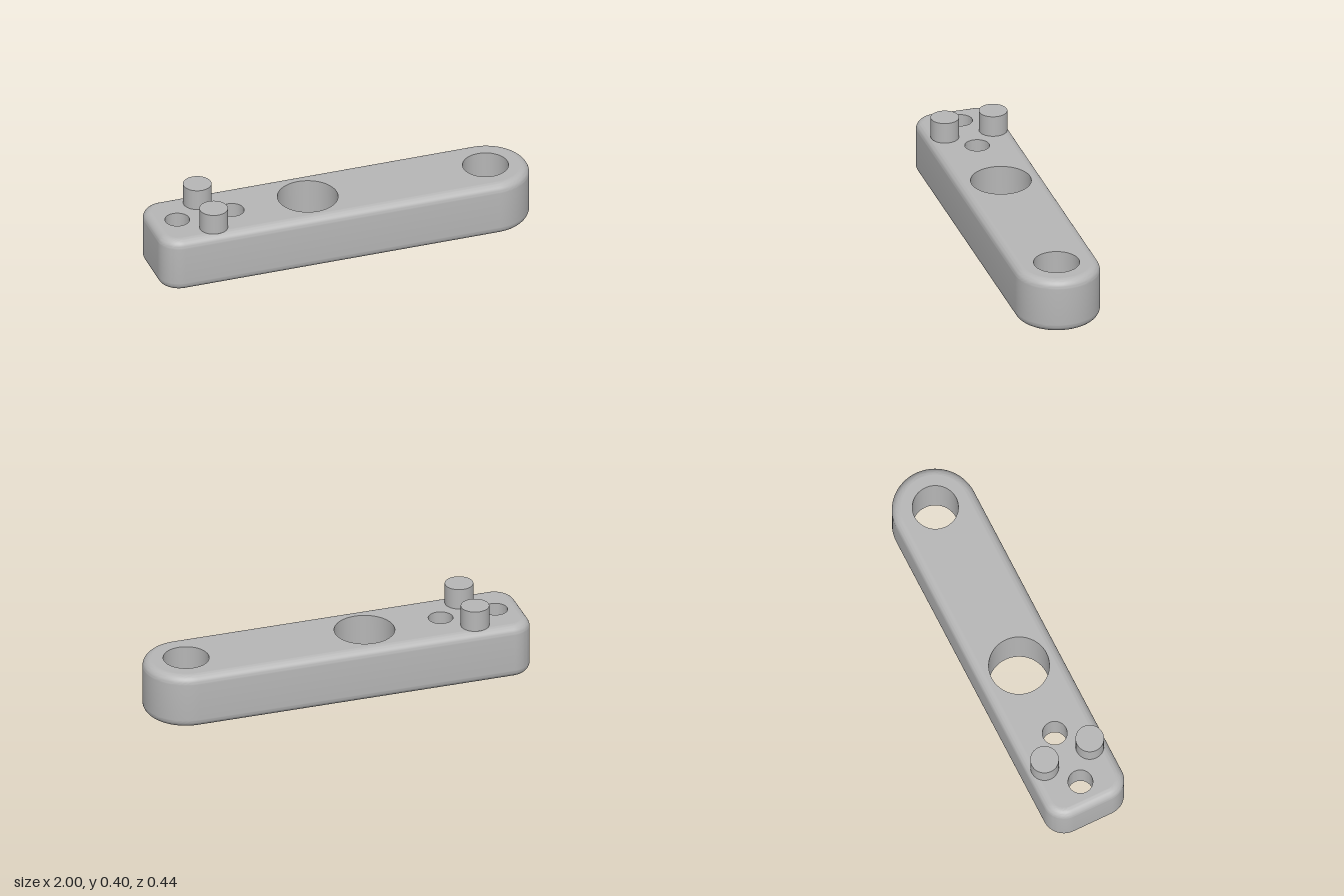
import * as THREE from 'three';
import { toCreasedNormals } from 'three/addons/utils/BufferGeometryUtils.js';

const HEIGHT = 0.29, HALF_WIDTH = 0.218, CORNER = 0.11, FILLET = 0.045;
const BORE_R = 0.115, BORE_DEPTH = 0.13, SCREW_R = 0.0625;
const END_BORE_X = -0.86;

// Outline in (x, z), shrunk by inset: round right end, small left corners
function outline(inset) {
  const pts = [];
  const arc = (cx, cz, r, from, to, n) => {
    for (let i = 0; i <= n; i++) {
      const a = from + (to - from) * i / n;
      pts.push(new THREE.Vector2(cx + r * Math.cos(a), cz + r * Math.sin(a)));
    }
  };
  const cz = HALF_WIDTH - CORNER, r = CORNER - inset, P = Math.PI;
  arc(1 - HALF_WIDTH, 0, HALF_WIDTH - inset, -P / 2, P / 2, 48);
  arc(-1 + CORNER, cz, r, P / 2, P, 16);
  for (let i = 1; i < 48; i++) pts.push(new THREE.Vector2(-1 + inset, cz - 2 * cz * i / 48));
  arc(-1 + CORNER, -cz, r, P, 1.5 * P, 16);
  return pts;
}

// Height of the lower fillet along the straight left edge
function lift(x) {
  const d = FILLET - (x + 1);
  return d > 0 ? FILLET - Math.sqrt(FILLET ** 2 - d ** 2) : 0;
}

function circle(cx, r, yAt, n = 64) {
  return Array.from({ length: n }, (_, i) => {
    const a = i / n * Math.PI * 2, x = cx + r * Math.cos(a);
    return new THREE.Vector3(x, yAt(x), r * Math.sin(a));
  });
}

// Skin closed rings, lowest first; inward flips the faces for holes
function loft(rings, inward = false) {
  const pos = [], area = new THREE.Triangle();
  const tri = (a, b, c) => {
    if (area.set(a, b, c).getArea() < 1e-9) return;
    for (const p of inward ? [a, c, b] : [a, b, c]) pos.push(p.x, p.y, p.z);
  };
  for (let i = 0; i + 1 < rings.length; i++) {
    const lo = rings[i], hi = rings[i + 1];
    for (let j = 0; j < lo.length; j++) {
      const k = (j + 1) % lo.length;
      tri(lo[j], hi[j], lo[k]);
      tri(hi[j], hi[k], lo[k]);
    }
  }
  const g = new THREE.BufferGeometry();
  g.setAttribute('position', new THREE.Float32BufferAttribute(pos, 3));
  return toCreasedNormals(g, 0.6);
}

function cap(points, holes, y, up) {
  const shape = new THREE.Shape(points);
  for (const [x, r] of holes) shape.holes.push(new THREE.Path(circle(x, r, () => 0).map(p => new THREE.Vector2(p.x, p.z))));
  return new THREE.ShapeGeometry(shape).rotateX(up ? -Math.PI / 2 : Math.PI / 2).translate(0, y, 0);
}

export function createModel() {
  const group = new THREE.Group();
  const grey = new THREE.MeshStandardMaterial({ color: 0xb6b6b6 });
  grey.name = 'grey';
  const add = (name, geometry) => {
    const mesh = new THREE.Mesh(geometry, grey);
    mesh.name = name;
    group.add(mesh);
    return mesh;
  };

  // Filleted side wall, notched where the end counterbore cuts the lower fillet
  const rings = [], steps = 10;
  for (const top of [false, true]) {
    for (let i = 0; i <= steps; i++) {
      const a = (top ? i : steps - i) / steps * Math.PI / 2;
      const inset = FILLET * (1 - Math.cos(a)), h = FILLET * (1 - Math.sin(a));
      rings.push(outline(inset).map(p => {
        const v = new THREE.Vector3(p.x, top ? HEIGHT - h : h, p.y);
        if (!top && Math.hypot(p.x - END_BORE_X, p.y) < BORE_R) {
          v.x = END_BORE_X - Math.sqrt(BORE_R ** 2 - p.y ** 2);
          v.y = lift(v.x);
        }
        return v;
      }));
    }
  }
  add('bodySide', loft(rings));

  // Top face
  const through = [[-0.166, 0.153], [0.78, 0.116]];
  const screws = [END_BORE_X, -0.57];
  add('bodyTop', cap(outline(FILLET), [...through, ...screws.map(x => [x, SCREW_R])], HEIGHT, true));

  // Bottom face, its left edge opened by the end counterbore
  const open = Math.acos((END_BORE_X + 1 - FILLET) / BORE_R);
  const bottom = [];
  let cut = false;
  for (const p of outline(FILLET)) {
    if (Math.hypot(p.x - END_BORE_X, p.y) >= BORE_R) bottom.push(p);
    else if (!cut) {
      cut = true;
      for (let i = 0; i <= 56; i++) {
        const a = (Math.PI - open) * (1 - 2 * i / 56);
        bottom.push(new THREE.Vector2(END_BORE_X + BORE_R * Math.cos(a), BORE_R * Math.sin(a)));
      }
    }
  }
  add('bodyBottom', cap(bottom, [...through, [-0.57, BORE_R]], 0, false));

  // Straight holes
  for (const [x, r] of through) {
    add('throughHole', loft([circle(x, r, () => 0), circle(x, r, () => HEIGHT)], true));
  }

  // Screw holes, widened from below
  for (const x of screws) {
    add('counterboredHole', loft([
      circle(x, BORE_R, lift), circle(x, BORE_R, () => BORE_DEPTH),
      circle(x, SCREW_R, () => BORE_DEPTH), circle(x, SCREW_R, () => HEIGHT),
    ], true));
  }

  // Pair of locating pins
  for (const side of [-1, 1]) {
    add('pin', new THREE.CylinderGeometry(0.072, 0.072, 0.11, 48)).position.set(-0.71, 0.345, side * 0.127);
  }
  return group;
}
